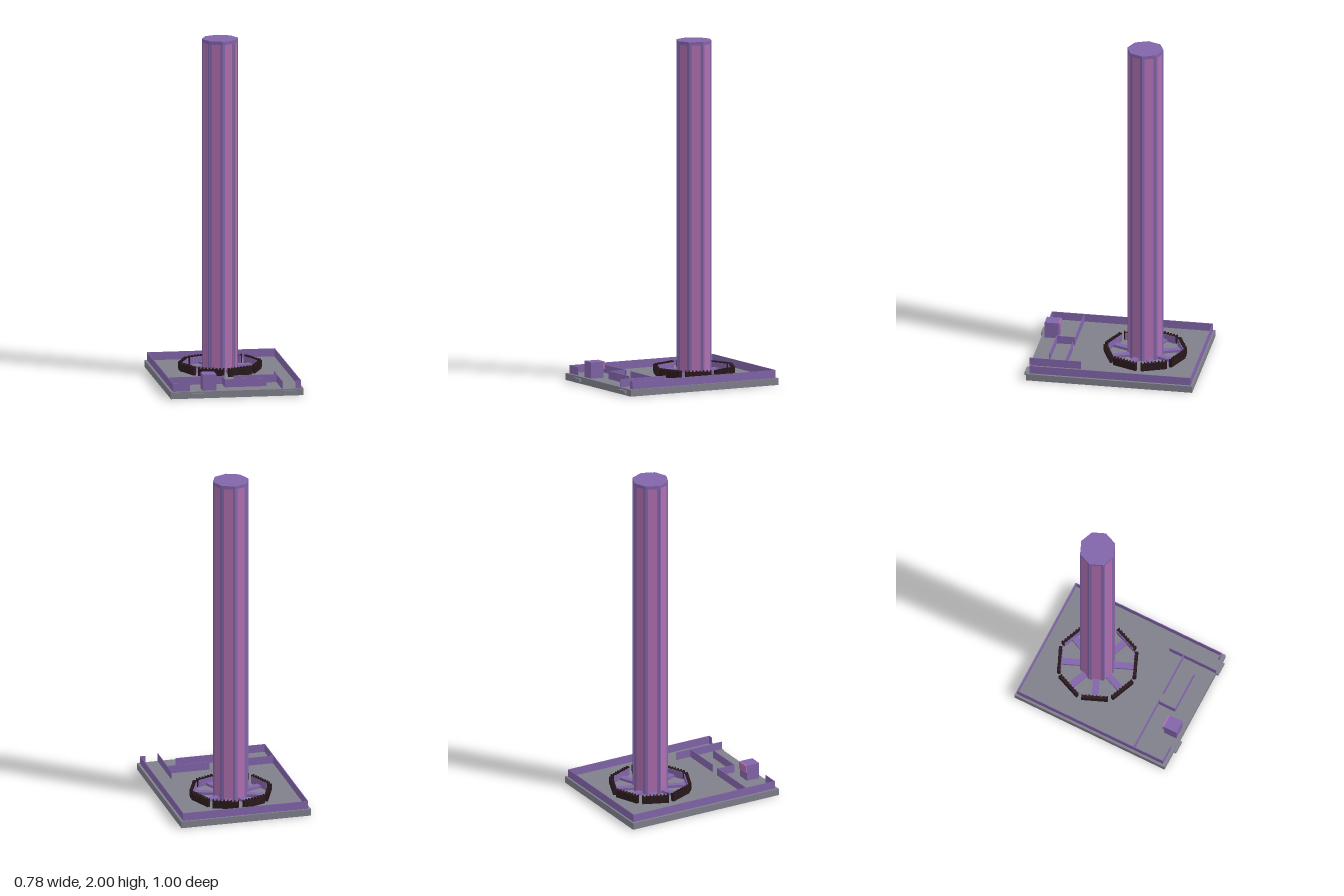
import * as THREE from 'three';

const mat = (color) => new THREE.MeshStandardMaterial({ color, flatShading: true });

export function createModel() {
  const model = new THREE.Group();
  const grey = mat(0x80808c), purple = mat(0x8265aa), pink = mat(0xb070b0), dark = mat(0x2a1a1c);

  // Box given by its extents along each axis
  const box = (name, m, x0, x1, y0, y1, z0, z1, parent = model) => {
    const mesh = new THREE.Mesh(new THREE.BoxGeometry(x1 - x0, y1 - y0, z1 - z0), m);
    mesh.position.set((x0 + x1) / 2, (y0 + y1) / 2, (z0 + z1) / 2);
    mesh.name = name;
    parent.add(mesh);
    return mesh;
  };

  // Base slab and front steps
  const floor = 0.04, wallTop = 0.087, t = 0.002;
  box('baseSlab', grey, -0.39, 0.39, 0, floor, -0.5, 0.48);
  for (const [x0, x1] of [[-0.275, -0.2], [0.265, 0.345]]) {
    box('frontStep', grey, x0, x1, 0.012, 0.03, 0.48, 0.496);
  }

  // Thin walls: start x, start z, end x, end z
  const walls = new THREE.Group();
  walls.name = 'walls';
  model.add(walls);
  for (const [x0, z0, x1, z1] of [
    [-0.374, -0.487, 0.374, -0.487],
    [-0.374, -0.487, -0.374, 0.46],
    [0.374, -0.487, 0.374, 0.46],
    [-0.374, 0.46, -0.277, 0.46],
    [0.346, 0.46, 0.374, 0.46],
    [-0.374, 0.27, -0.045, 0.27],
    [0.013, 0.27, 0.265, 0.27],
    [0.265, 0.18, 0.265, 0.48],
    [-0.055, 0.27, -0.055, 0.377],
    [-0.055, 0.377, 0.185, 0.377],
  ]) {
    box('wall', purple, x0 - t, x1 + t, floor, wallTop, z0 - t, z1 + t, walls);
  }

  // Small booth near the front, with a rear ledge
  box('booth', purple, -0.2, -0.12, floor, 0.135, 0.378, 0.46);
  box('boothLedge', pink, -0.2, -0.12, 0.09, 0.135, 0.37, 0.378);

  // Octagonal tower with corners on the axes
  const tower = new THREE.Group();
  tower.name = 'tower';
  tower.position.z = -0.156;
  model.add(tower);
  const prism = (name, r, y0, y1) => {
    const mesh = new THREE.Mesh(new THREE.CylinderGeometry(r, r, y1 - y0, 8), purple);
    mesh.position.y = (y0 + y1) / 2;
    mesh.name = name;
    tower.add(mesh);
  };
  prism('towerCore', 0.103, floor, 1.98);
  prism('towerCap', 0.107, 1.98, 2);

  // Eight sides: corner strips, recessed panel, spoke and outer track segment
  for (let i = 0; i < 8; i++) {
    const side = new THREE.Group();
    side.name = 'towerSide';
    side.rotation.y = (i + 0.5) * Math.PI / 4;
    tower.add(side);
    for (const s of [-1, 1]) {
      const a = s * 0.0265, b = s * 0.0395;
      box('cornerStrip', purple, Math.min(a, b), Math.max(a, b), floor, 1.98, 0.09, 0.0985, side);
    }
    box('panel', pink, -0.0265, 0.0265, floor, 1.98, 0.09, 0.0965, side);
    box('spoke', purple, -0.019, 0.019, floor, 0.055, 0.09, 0.212, side);
    box('trackWall', purple, -0.074, 0.074, floor, 0.083, 0.207, 0.212, side);
    box('trackBed', dark, -0.077, 0.077, floor, 0.083, 0.212, 0.228, side);
    // Ribs across the track
    for (let k = 0; k < 8; k++) {
      const x = -0.0735 + k * 0.021;
      box('trackRib', dark, x - 0.0035, x + 0.0035, 0.05, 0.091, 0.21, 0.231, side);
    }
  }
  return model;
}
